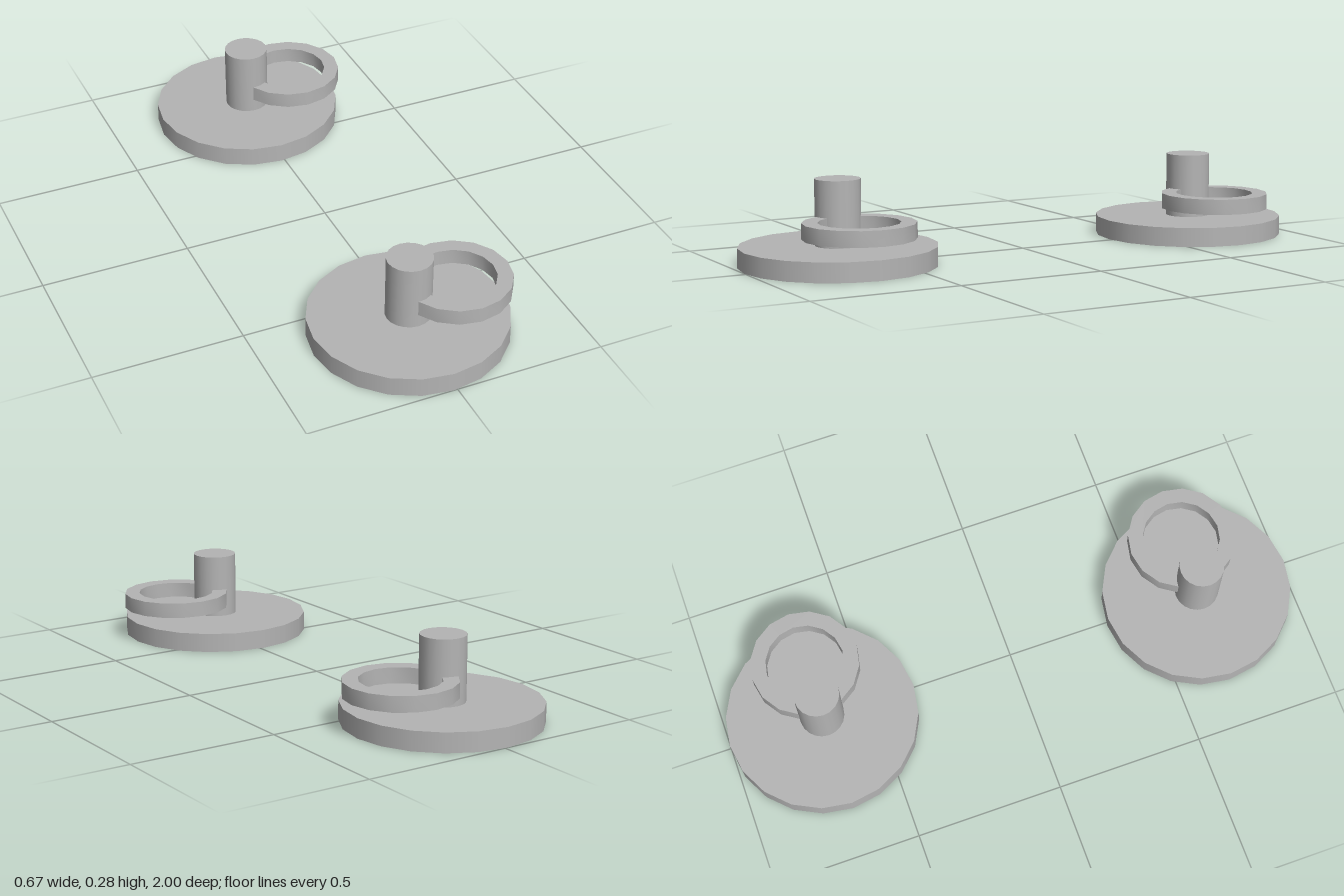
import * as THREE from 'three';
import { toCreasedNormals } from 'three/addons/utils/BufferGeometryUtils.js';

const AXIS_X = -0.012;   // centre of base and post
const RING_X = 0.151;    // centre of the open ring
const SPACING = 0.676;   // distance of each stand from the middle

// Open ring: a 16-sided band with the two segments inside the post left out
function ringGeometry(outer, inner, height) {
  const step = Math.PI / 8;
  const points = [];
  const add = (r, i) => points.push(new THREE.Vector2(r * Math.cos(i * step), r * Math.sin(i * step)));
  for (let i = -7; i <= 7; i++) add(outer, i);
  for (let i = 7; i >= -7; i--) add(inner, i);
  const geo = new THREE.ExtrudeGeometry(new THREE.Shape(points), { depth: height, bevelEnabled: false });
  geo.rotateX(-Math.PI / 2);
  return toCreasedNormals(geo, 0.5);
}

export function createModel() {
  const grey = new THREE.MeshStandardMaterial({ color: 0xb4b4b4 });
  grey.name = 'grey';

  const baseGeo = new THREE.CylinderGeometry(0.324, 0.324, 0.065, 20);
  const postGeo = new THREE.CylinderGeometry(0.075, 0.075, 0.217, 20);
  const ringGeo = ringGeometry(0.183, 0.132, 0.052);

  const model = new THREE.Group();
  model.name = 'ringStands';

  // Two identical stands, front and back
  for (const [name, z] of [['frontStand', SPACING], ['backStand', -SPACING]]) {
    const stand = new THREE.Group();
    stand.name = name;
    stand.position.z = z;
    const part = (partName, geo, x, y) => {
      const mesh = new THREE.Mesh(geo, grey);
      mesh.name = partName;
      mesh.position.set(x, y, 0);
      stand.add(mesh);
    };
    part('base', baseGeo, AXIS_X, 0.0325);
    part('post', postGeo, AXIS_X, 0.065 + 0.1085);
    part('ringHandle', ringGeo, RING_X, 0.11);
    model.add(stand);
  }
  return model;
}
